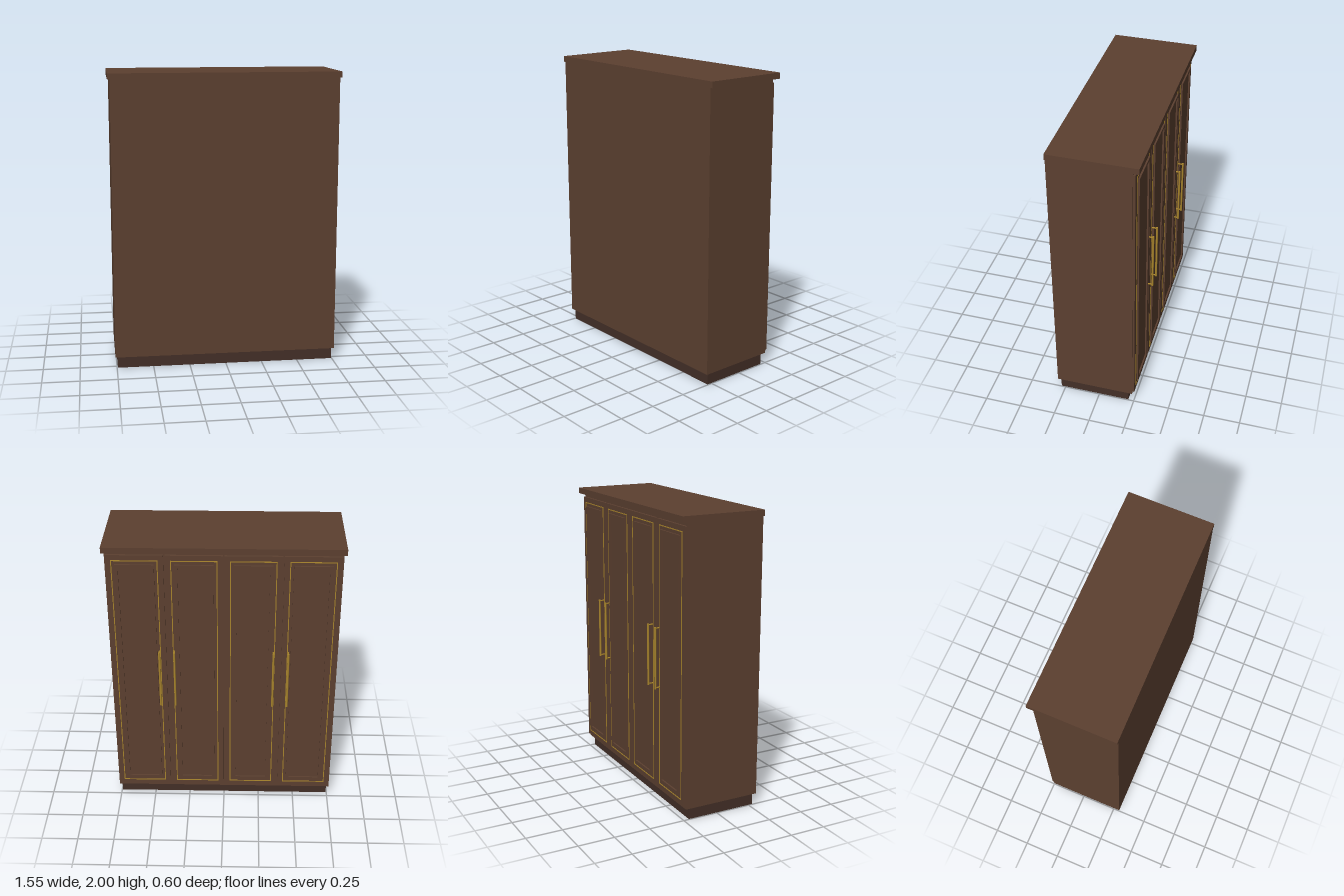
import * as THREE from 'three';

const wood = new THREE.MeshStandardMaterial({ color: 0x5c4030 });
const darkWood = new THREE.MeshStandardMaterial({ color: 0x432f27 });
const brass = new THREE.MeshStandardMaterial({ color: 0xa8842c });

// Box given by its min and max corners
function box(name, [x0, y0, z0], [x1, y1, z1], material) {
  const mesh = new THREE.Mesh(new THREE.BoxGeometry(x1 - x0, y1 - y0, z1 - z0), material);
  mesh.position.set((x0 + x1) / 2, (y0 + y1) / 2, (z0 + z1) / 2);
  mesh.name = name;
  return mesh;
}

// Rectangular frame of outer size w x h, centred on the origin, thickness along z
function frame(name, w, h, border, depth, material) {
  const rect = (P, a, b) => new P([
    new THREE.Vector2(-a, -b), new THREE.Vector2(a, -b),
    new THREE.Vector2(a, b), new THREE.Vector2(-a, b),
  ]);
  const shape = rect(THREE.Shape, w / 2, h / 2);
  shape.holes.push(rect(THREE.Path, w / 2 - border, h / 2 - border));
  const geometry = new THREE.ExtrudeGeometry(shape, { depth, bevelEnabled: false });
  const mesh = new THREE.Mesh(geometry, material);
  mesh.name = name;
  return mesh;
}

// Bar handle on two short posts, projecting towards -z
function handle(x) {
  const group = new THREE.Group();
  group.name = 'handle';
  const bar = new THREE.Mesh(new THREE.CylinderGeometry(0.007, 0.007, 0.42, 16), brass);
  bar.name = 'handleBar';
  bar.position.set(x, 1.027, -0.291);
  group.add(bar);
  for (const y of [0.825, 1.229]) {
    const post = new THREE.Mesh(new THREE.CylinderGeometry(0.005, 0.005, 0.04, 12), brass);
    post.name = 'handlePost';
    post.rotation.x = Math.PI / 2;
    post.position.set(x, y, -0.271);
    group.add(post);
  }
  return group;
}

// Door slab with brass inlay and a raised moulding around the panel
function door(x, handleX) {
  const group = new THREE.Group();
  group.name = 'door';
  const w = 0.37, y0 = 0.1, y1 = 1.935, h = y1 - y0, yc = (y0 + y1) / 2;
  group.add(box('doorSlab', [x - w / 2, y0, -0.255], [x + w / 2, y1, -0.235], wood));
  const inlay = frame('brassInlay', w - 0.07, h - 0.07, 0.006, 0.007, brass);
  inlay.position.set(x, yc, -0.258);
  const moulding = frame('panelMoulding', w - 0.12, h - 0.125, 0.02, 0.015, wood);
  moulding.position.set(x, yc, -0.266);
  group.add(inlay, moulding, handle(handleX));
  return group;
}

export function createModel() {
  const model = new THREE.Group();
  model.name = 'wardrobe';

  model.add(
    box('plinth', [-0.745, 0, -0.21], [0.745, 0.08, 0.28], darkWood),
    box('carcass', [-0.76, 0.08, -0.24], [0.76, 1.96, 0.3], wood),
    box('cornice', [-0.775, 1.96, -0.284], [0.775, 2, 0.3], wood),
  );

  // Two pairs of doors, mirrored, with handles next to each pair's meeting edge
  for (const side of [-1, 1]) {
    model.add(door(side * 0.19, side * 0.33), door(side * 0.57, side * 0.43));
  }
  return model;
}
